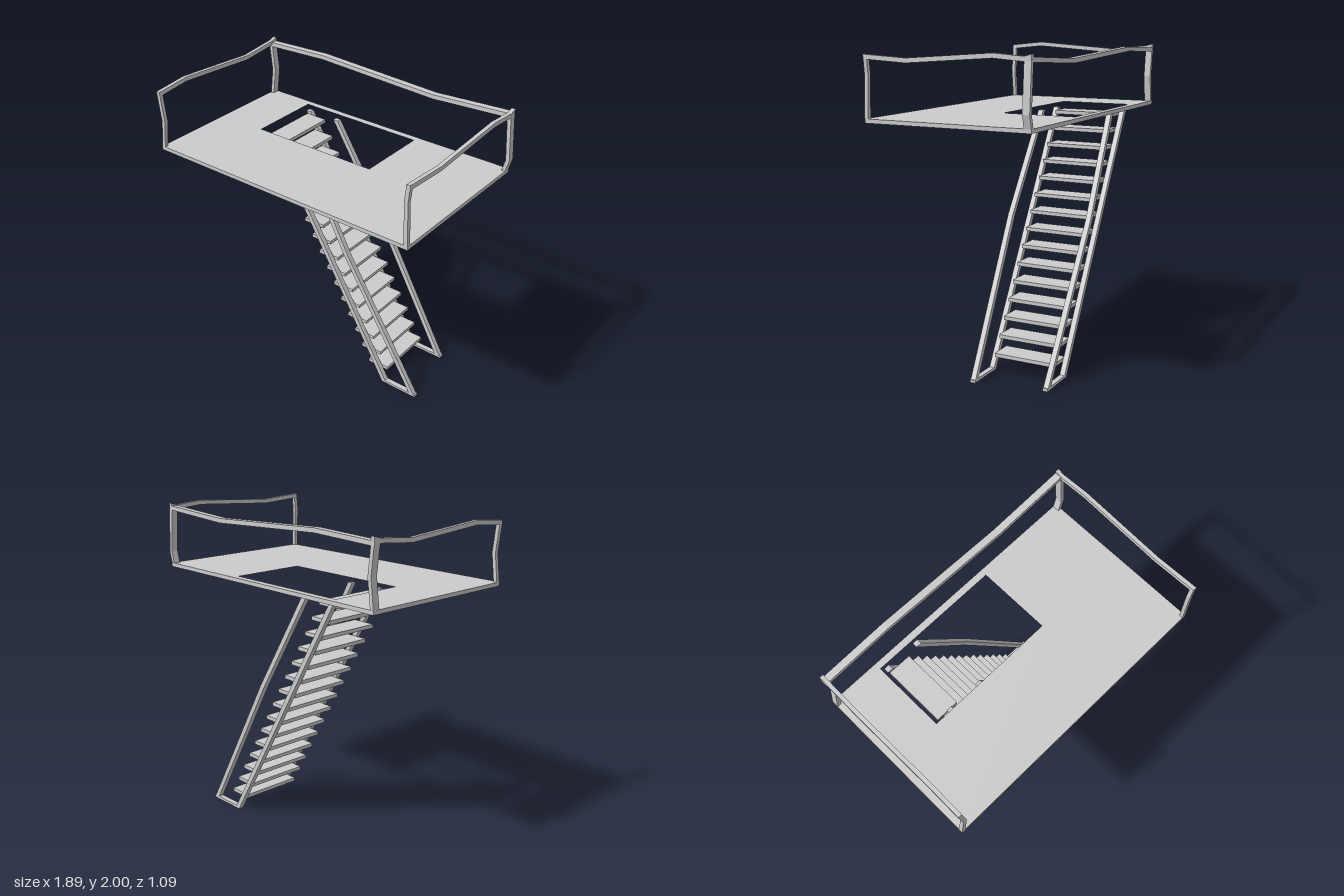
import * as THREE from 'three';

const material = new THREE.MeshStandardMaterial({ color: 0xcccccc, flatShading: true });

function add(group, name, geometry) {
  const mesh = new THREE.Mesh(geometry, material);
  mesh.name = name;
  group.add(mesh);
  return mesh;
}

function box(group, name, x0, x1, y0, y1, z0, z1) {
  const mesh = add(group, name, new THREE.BoxGeometry(x1 - x0, y1 - y0, z1 - z0));
  mesh.position.set((x0 + x1) / 2, (y0 + y1) / 2, (z0 + z1) / 2);
}

// Bent bar: the same rectangle (full sides u and v) is placed at every path point
function bar(group, name, path, u, v) {
  const U = new THREE.Vector3(...u).multiplyScalar(0.5);
  const V = new THREE.Vector3(...v).multiplyScalar(0.5);
  const pts = path.map((p) => new THREE.Vector3(...p));
  const along = pts[pts.length - 1].clone().sub(pts[0]);
  if (U.clone().cross(V).dot(along) < 0) V.negate();
  const pos = [], index = [];
  for (const p of pts) {
    for (const [a, b] of [[-1, -1], [1, -1], [1, 1], [-1, 1]]) {
      pos.push(...p.clone().addScaledVector(U, a).addScaledVector(V, b).toArray());
    }
  }
  for (let i = 0; i < pts.length - 1; i++) {
    for (let k = 0; k < 4; k++) {
      const a = i * 4 + k, b = i * 4 + (k + 1) % 4;
      index.push(a, b, b + 4, a, b + 4, a + 4);
    }
  }
  const e = (pts.length - 1) * 4;
  index.push(0, 2, 1, 0, 3, 2, e, e + 1, e + 2, e, e + 2, e + 3);
  const geo = new THREE.BufferGeometry();
  geo.setAttribute('position', new THREE.Float32BufferAttribute(pos, 3));
  geo.setIndex(index);
  const flat = geo.toNonIndexed();
  flat.computeVertexNormals();
  add(group, name, flat);
}

function rect(Type, x0, x1, z0, z1) {
  return new Type([[x0, -z0], [x1, -z0], [x1, -z1], [x0, -z1]].map((p) => new THREE.Vector2(...p)));
}

export function createModel() {
  const model = new THREE.Group();
  model.name = 'stairPlatform';

  // Deck with a stair opening
  const deckShape = rect(THREE.Shape, -0.945, 0.92, -0.545, 0.54);
  deckShape.holes.push(rect(THREE.Path, -0.61, 0.26, -0.5, -0.02));
  const deck = new THREE.ExtrudeGeometry(deckShape, { depth: 0.025, bevelEnabled: false });
  deck.rotateX(-Math.PI / 2);
  deck.translate(0, 1.58, 0);
  add(model, 'deck', deck);

  // Crooked railing around three sides
  const railing = new THREE.Group();
  railing.name = 'railing';
  model.add(railing);
  const xl = -0.932, xr = 0.907, zb = -0.522, zf = 0.528;
  const post = (name, x, z, depth, bendX, bendY) => bar(railing, name,
    [[x, 1.6, z], [bendX, bendY, z], [x, 1.97, z]], [0.025, 0, 0], [0, 0, depth]);
  post('frontRightPost', xl, zf, 0.025, -0.91, 1.78);
  post('backRightPost', xl, zb, 0.045, -0.91, 1.78);
  post('frontLeftPost', xr, zf, 0.025, 0.897, 1.87);
  post('backLeftPost', xr, zb, 0.045, 0.928, 1.68);

  bar(railing, 'backRail', [[-0.945, 1.96, zb], [-0.48, 1.978, zb], [0.38, 1.94, zb], [0.92, 1.97, zb]],
    [0, 0.028, 0], [0, 0, 0.045]);
  for (const [name, x, s] of [['rightRail', xl, 1], ['leftRail', xr, -1]]) {
    const mid = [[0.31 * s, 1.986], [-0.25 * s, 1.947]].sort((a, b) => b[0] - a[0]);
    const path = [[0.54, 1.963], ...mid, [-0.5, 1.972], [-0.545, 1.985]];
    bar(railing, name, path.map(([z, y]) => [x, y, z]), [0.025, 0, 0], [0, 0.028, 0]);
  }

  // Stair: each side has a straight stringer, a bowed handrail and a foot bar
  const stair = new THREE.Group();
  stair.name = 'stair';
  model.add(stair);
  const run = 0.925;
  const sides = [
    { name: 'front', z: -0.027, bow: 0.03, stringer: -0.49, rail: -0.258 },
    { name: 'back', z: -0.477, bow: -0.025, stringer: -0.573, rail: -0.342 },
  ];
  for (const { name, z, bow, stringer, rail } of sides) {
    const slope = (part, x, b) => bar(stair, name + part,
      [[x, 1.58, z], [x + run * 0.405, 0.94, z + b], [x + run, 0, z]], [0.036, 0, 0], [0, 0, 0.034]);
    slope('Stringer', stringer, 0);
    slope('Handrail', rail, bow);
    box(stair, name + 'FootBar', stringer + run - 0.018, rail + run + 0.018, 0, 0.018, z - 0.017, z + 0.017);
  }

  // Treads
  for (let i = 0; i < 15; i++) {
    const x = 0.28 - i * 0.0615, y = 0.087 + i * 0.1036;
    box(stair, 'tread', x, x + 0.155, y, y + 0.024, -0.458, -0.044);
  }
  return model;
}
